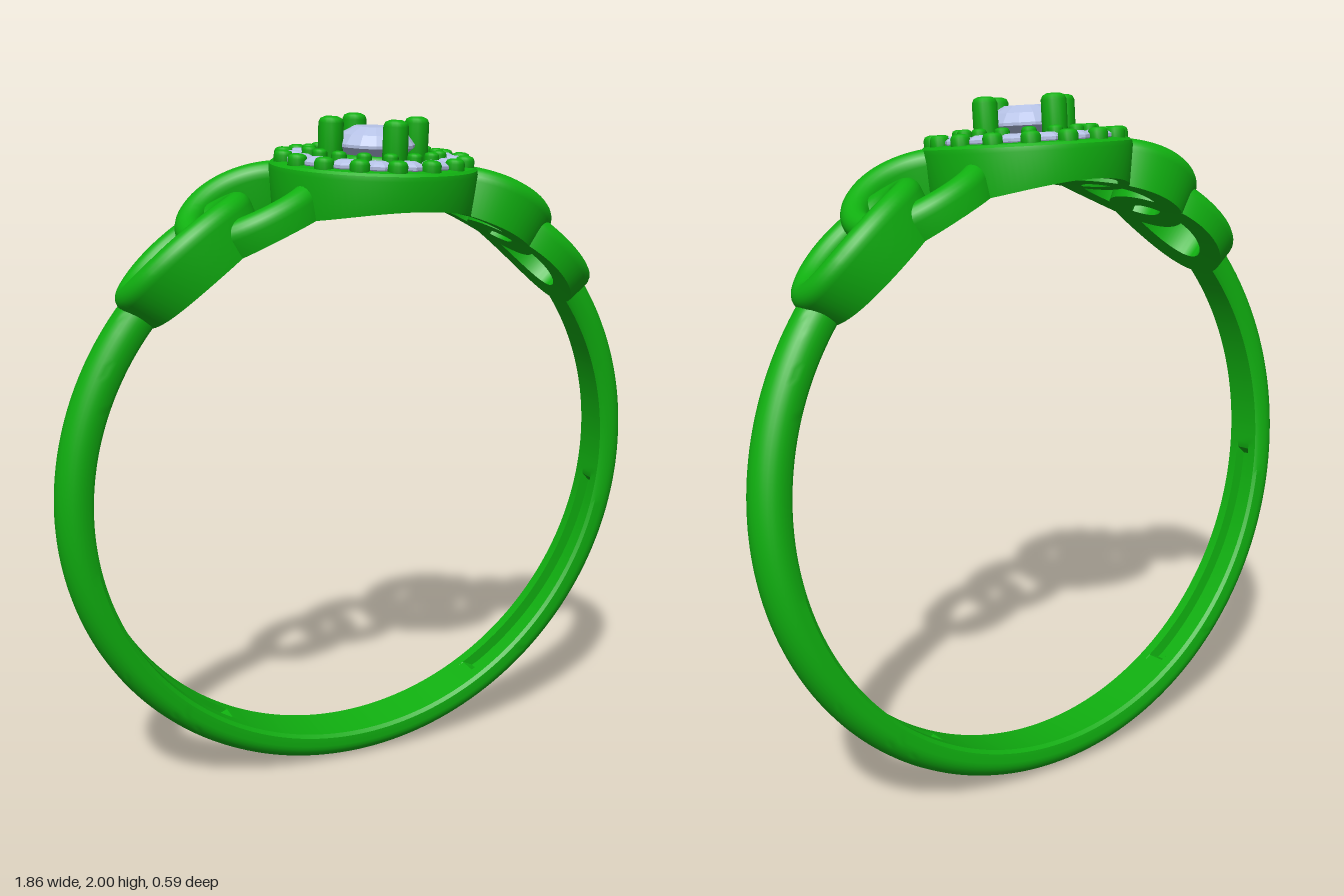
import * as THREE from 'three';
import { toCreasedNormals } from 'three/addons/utils/BufferGeometryUtils.js';

const INNER = 0.835; // finger radius
const metal = new THREE.MeshStandardMaterial({ color: 0x10b010 });
const stone = new THREE.MeshStandardMaterial({ color: 0xb4c0e4, flatShading: true });

// Skin through cross-sections; section(t) returns a closed loop of [x, y, z], t from 0 to 1
function sweep(steps, section) {
  const pos = [], index = [];
  let n = 0;
  for (let i = 0; i <= steps; i++) {
    const loop = section(i / steps);
    n = loop.length;
    loop.forEach(p => pos.push(...p));
  }
  for (let i = 0; i < steps; i++) {
    for (let j = 0; j < n; j++) {
      const k = (j + 1) % n;
      const a = i * n + j, b = i * n + k, c = b + n, d = a + n;
      index.push(a, b, c, a, c, d);
    }
  }
  const g = new THREE.BufferGeometry();
  g.setAttribute('position', new THREE.Float32BufferAttribute(pos, 3));
  g.setIndex(index);
  return toCreasedNormals(g, 0.6);
}

function add(parent, name, geometry, material, x = 0, y = 0, z = 0) {
  const m = new THREE.Mesh(geometry, material);
  m.name = name;
  m.position.set(x, y, z);
  parent.add(m);
  return m;
}

const lathe = (pts, seg) => new THREE.LatheGeometry(pts.map(p => new THREE.Vector2(...p)), seg);

// Band: domed outside, flat inside with a slot on each side, wider at the bottom
function bandGeometry() {
  const start = THREE.MathUtils.degToRad(39.5), end = -Math.PI - start;
  const ss = THREE.MathUtils.smoothstep;
  return sweep(180, t => {
    const a = start + (end - start) * t;
    const w = 0.064 - 0.013 * Math.sin(a);
    const below = THREE.MathUtils.radToDeg(Math.asin(-Math.sin(a))); // degrees below the middle
    const slot = 0.035 * ss(below, 6, 8) * (1 - ss(below, 58, 60));
    const loop = [];
    for (let i = 0; i <= 16; i++) {
      const b = -Math.PI / 2 + Math.PI * i / 16;
      loop.push([0.872 + 0.058 * Math.cos(b), w * Math.sin(b)]);
    }
    loop.push([INNER + 0.01, w * 0.97], [INNER, w * 0.85], [INNER, w * 0.4], [INNER + slot, w * 0.38],
      [INNER + slot, -w * 0.38], [INNER, -w * 0.4], [INNER, -w * 0.85], [INNER + 0.01, -w * 0.97]);
    return loop.map(([r, z]) => [r * Math.cos(a), r * Math.sin(a), z]);
  });
}

// Oval chain link wrapped on the finger cylinder; tilt raises its front or back arm
function linkGeometry(centre, halfAngle, halfWidth, top, tilt) {
  const R = 0.9, w = 0.0375;
  return sweep(72, t => {
    const a = t * Math.PI * 2, c = Math.cos(a), s = Math.sin(a);
    const n = new THREE.Vector2(c / (R * halfAngle), s / halfWidth).normalize();
    const h = top + tilt * s;
    const loop = [[-w, INNER], [w, INNER]];
    for (let i = 0; i <= 10; i++) {
      const b = Math.PI * i / 10;
      loop.push([w * Math.cos(b), h - 0.04 + 0.04 * Math.sin(b)]);
    }
    return loop.map(([o, r]) => {
      const phi = centre + halfAngle * c + o * n.x / R;
      return [r * Math.sin(phi), r * Math.cos(phi), halfWidth * s + o * n.y];
    });
  });
}

// Round halo plate with a skirt cut to the finger cylinder
function haloGeometry() {
  return sweep(96, t => {
    const a = t * Math.PI * 2, c = Math.cos(a), s = Math.sin(a);
    const foot = r => Math.sqrt(INNER * INNER - r * r * c * c);
    return [[0.283, foot(0.283)], [0.295, 0.915], [0.293, 0.928], [0.285, 0.935], [0.165, 0.948],
      [0.155, 0.942], [0.155, 0.895], [0.252, 0.885], [0.252, foot(0.252)]]
      .map(([r, y]) => [r * c, y, r * s]);
  });
}

// Upright pin with a rounded head
const prongGeometry = (r, low, high) => lathe([[0, low], [r, low], [r, high - r * 0.5],
  [r * 0.85, high - r * 0.18], [r * 0.5, high - r * 0.03], [0, high]], 16);

// Faceted round stone with its girdle at y = 0
const gemGeometry = (r, crown, depth, seg) => lathe([[0, -depth], [r, -0.004], [r, 0.004],
  [r * 0.82, crown * 0.6], [r * 0.5, crown], [0, crown]], seg);

export function createModel() {
  const model = new THREE.Group();
  model.name = 'ring';
  const body = new THREE.Group();
  body.name = 'tiltedRing';
  body.position.set(0, 0.935, -0.077);
  body.rotation.x = 0.086;
  model.add(body);

  add(body, 'band', bandGeometry(), metal);

  // Interlocked shoulder links, turned half round for the other side
  const inner = linkGeometry(0.42, 0.2, 0.145, 0.95, 0.028);
  const outer = linkGeometry(0.67, 0.21, 0.128, 0.957, -0.028);
  ['left', 'right'].forEach((side, i) => {
    const g = new THREE.Group();
    g.name = side + 'Links';
    g.rotation.y = i * Math.PI;
    add(g, side + 'InnerLink', inner, metal);
    add(g, side + 'OuterLink', outer, metal);
    body.add(g);
  });

  // Head
  const head = new THREE.Group();
  head.name = 'head';
  body.add(head);
  add(head, 'haloPlate', haloGeometry(), metal);

  const smallGem = gemGeometry(0.042, 0.016, 0.068, 8);
  const outerPin = prongGeometry(0.027, 0.9, 0.967);
  const innerPin = prongGeometry(0.021, 0.9, 0.978);
  for (let i = 0; i < 16; i++) {
    const a = i * Math.PI / 8, b = a + Math.PI / 16;
    add(head, 'haloStone', smallGem, stone, 0.22 * Math.cos(a), 0.945, 0.22 * Math.sin(a));
    add(head, 'outerPin', outerPin, metal, 0.257 * Math.cos(b), 0, 0.257 * Math.sin(b));
    add(head, 'innerPin', innerPin, metal, 0.184 * Math.cos(b), 0, 0.184 * Math.sin(b));
  }

  // Basket for the centre stone
  const prong = prongGeometry(0.035, 0.88, 1.062);
  for (let i = 0; i < 4; i++) {
    const a = i * Math.PI / 2;
    add(head, 'centreProng', prong, metal, 0.133 * Math.cos(a), 0, 0.133 * Math.sin(a));
  }
  [[0.1, 0.945], [0.095, 0.895]].forEach(([r, y]) => {
    add(head, 'basketRail', new THREE.TorusGeometry(r, 0.016, 10, 48), metal, 0, y, 0).rotation.x = Math.PI / 2;
  });
  add(head, 'centreStone', gemGeometry(0.115, 0.05, 0.1, 16), stone, 0, 0.985, 0);

  return model;
}
